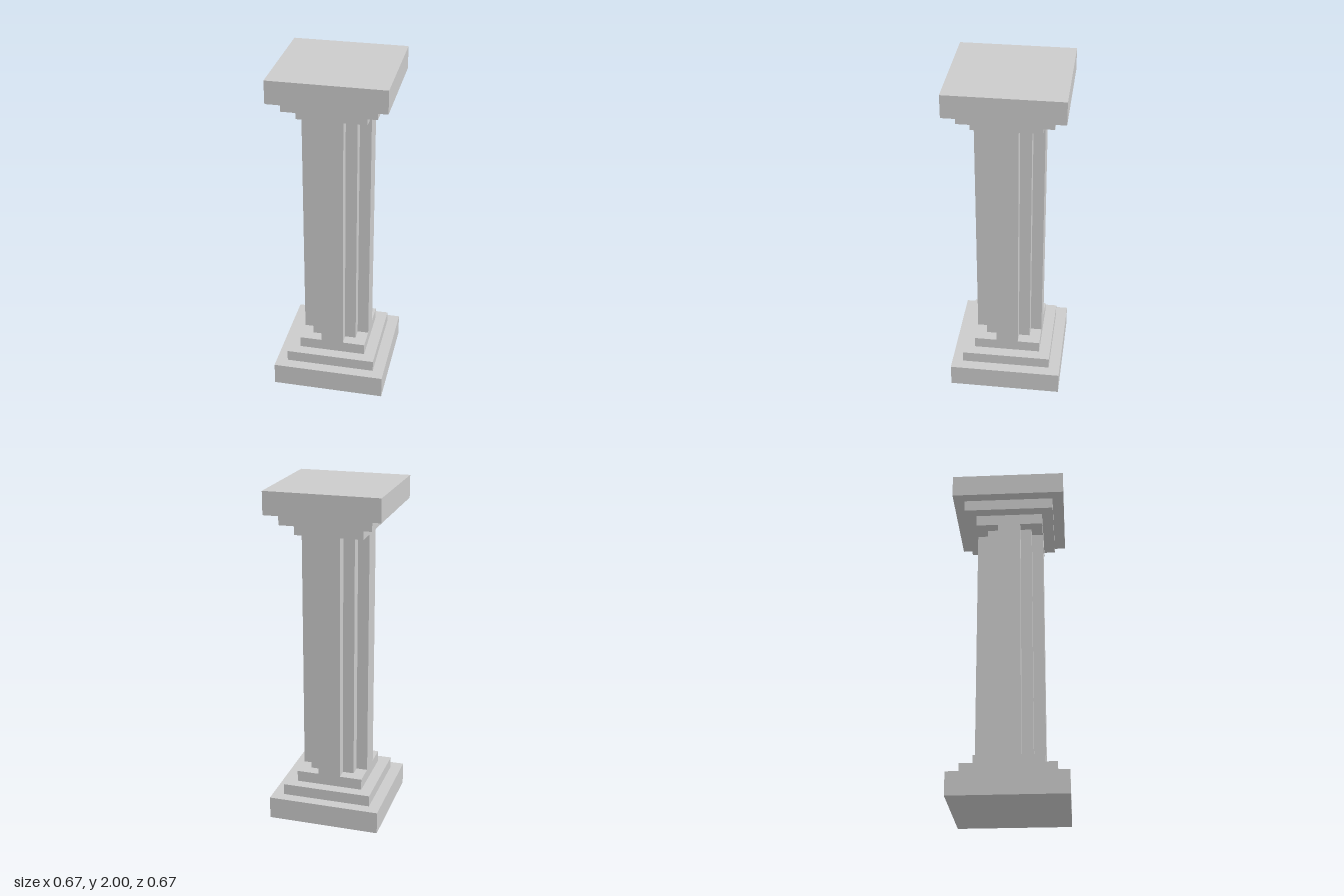
import * as THREE from 'three';

const U = 2 / 30; // base module: every size is a multiple of it
const material = new THREE.MeshStandardMaterial({ color: 0xcccccc, flatShading: true });

export function createModel() {
  const model = new THREE.Group();
  model.name = 'pillar';

  function add(name, geometry, y) {
    const mesh = new THREE.Mesh(geometry, material);
    mesh.name = name;
    mesh.position.y = y;
    model.add(mesh);
  }

  // Stepped square slabs, mirrored at the foot and the head: [name, width, bottom, height]
  const slabs = [
    ['Plinth', 10, 0, 2],
    ['Step', 8, 2, 1],
    ['Collar', 6, 3, 1],
  ];
  for (const [name, width, bottom, height] of slabs) {
    const middle = (bottom + height / 2) * U;
    const slab = new THREE.BoxGeometry(width * U, height * U, width * U);
    add('base' + name, slab, middle);
    add('capital' + name, slab, 2 - middle);
  }

  // Shaft: square section with two-stepped notches at the corners
  const corner = [[3, -1], [3, 1], [2, 1], [2, 2], [1, 2]];
  const outline = [];
  for (let i = 0; i < 4; i++) {
    for (const [x, y] of corner) {
      outline.push(new THREE.Vector2(x * U, y * U).rotateAround(new THREE.Vector2(), i * Math.PI / 2));
    }
  }
  const shaft = new THREE.ExtrudeGeometry(new THREE.Shape(outline), { depth: 22 * U, bevelEnabled: false });
  shaft.rotateX(-Math.PI / 2);
  add('shaft', shaft, 4 * U);

  return model;
}
